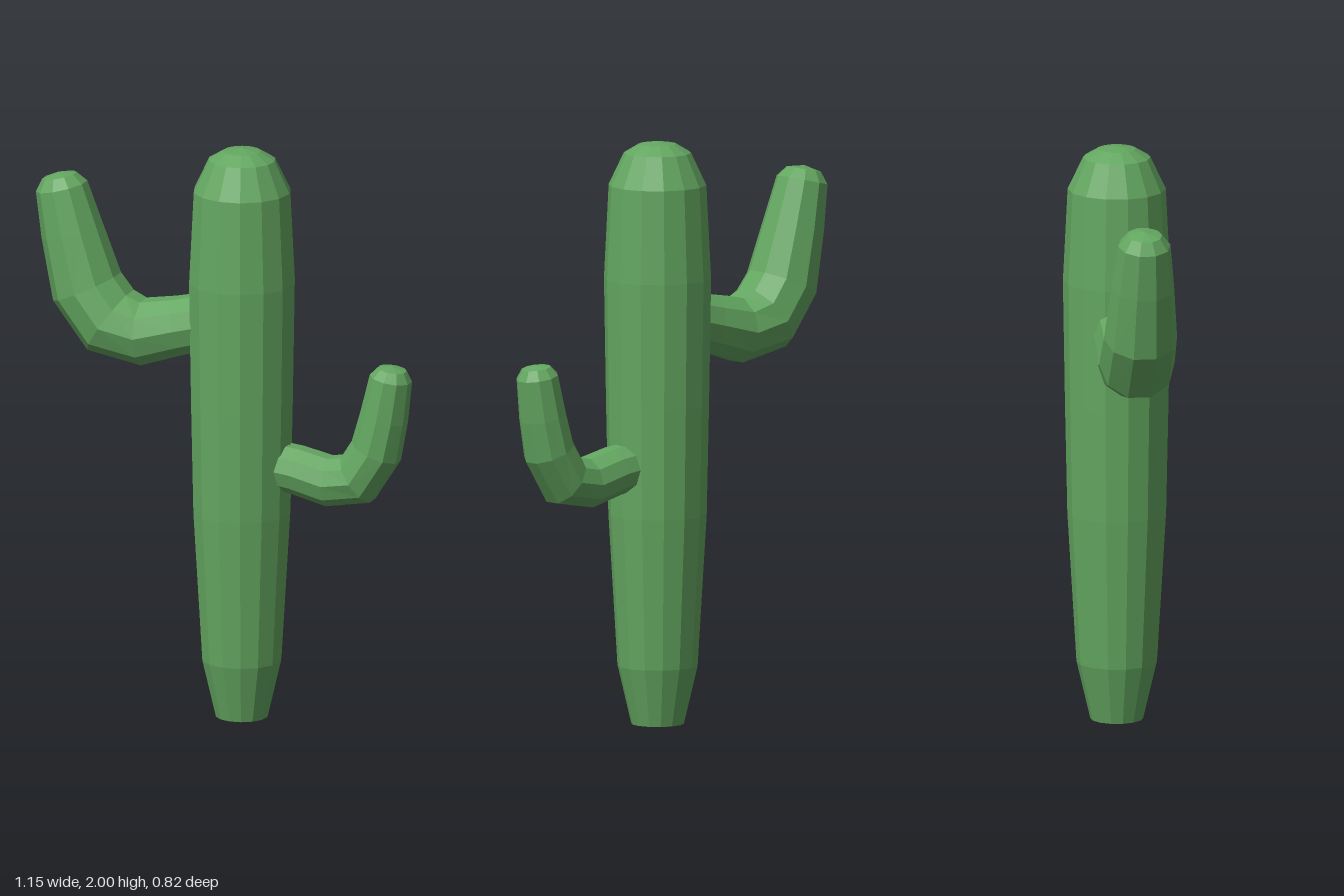
import * as THREE from 'three';

const CENTRE_X = 0.056, CENTRE_Z = -0.048;

// Sweeps round sections [outward, height, radius] in a vertical plane facing (dx, dz)
function sweep(sections, dx, dz, sides) {
  const length = Math.hypot(dx, dz);
  const out = new THREE.Vector3(dx / length, 0, dz / length);
  const up = new THREE.Vector3(0, 1, 0);
  const positions = [], index = [];
  sections.forEach(([s, y, r], i) => {
    const before = sections[Math.max(i - 1, 0)];
    const after = sections[Math.min(i + 1, sections.length - 1)];
    const t = out.clone().multiplyScalar(after[0] - before[0])
      .addScaledVector(up, after[1] - before[1]).normalize();
    const n = out.clone().multiplyScalar(t.y).addScaledVector(up, -t.dot(out));
    const b = t.clone().cross(n);
    for (let j = 0; j < sides; j++) {
      const a = (j + 0.5) / sides * Math.PI * 2;
      const p = out.clone().multiplyScalar(s).addScaledVector(up, y)
        .addScaledVector(n, r * Math.cos(a)).addScaledVector(b, r * Math.sin(a));
      positions.push(p.x + CENTRE_X, p.y, p.z + CENTRE_Z);
    }
  });
  for (let i = 0; i < sections.length - 1; i++) {
    for (let j = 0; j < sides; j++) {
      const k = (j + 1) % sides;
      const a = i * sides + j, b = i * sides + k;
      const c = a + sides, d = b + sides;
      if (sections[i][2] > 0) index.push(a, b, d);
      if (sections[i + 1][2] > 0) index.push(a, d, c);
    }
  }
  const geometry = new THREE.BufferGeometry();
  geometry.setAttribute('position', new THREE.Float32BufferAttribute(positions, 3));
  geometry.setIndex(index);
  const faceted = geometry.toNonIndexed();
  faceted.computeVertexNormals();
  return faceted;
}

export function createModel() {
  const group = new THREE.Group();
  group.name = 'cactus';
  const green = new THREE.MeshStandardMaterial({ color: 0x63a660, flatShading: true });
  green.name = 'cactus green';

  const add = (name, sections, dx, dz, sides) => {
    const mesh = new THREE.Mesh(sweep(sections, dx, dz, sides), green);
    mesh.name = name;
    group.add(mesh);
  };

  // Trunk: narrow foot, slight swell and a rounded crown
  add('trunk', [
    [0, 0, 0], [0, 0, 0.09], [0, 0.2, 0.137], [0, 0.72, 0.168], [0, 1.1, 0.176],
    [0, 1.53, 0.183], [0, 1.85, 0.167], [0, 1.96, 0.115], [0, 1.99, 0.065], [0, 2, 0],
  ], 1, 0, 14);

  // Large arm, reaching forward on the right
  add('rightArm', [
    [0.08, 1.39, 0], [0.08, 1.39, 0.098], [0.22, 1.355, 0.102], [0.355, 1.32, 0.116],
    [0.475, 1.35, 0.13], [0.56, 1.46, 0.126], [0.613, 1.65, 0.108],
    [0.652, 1.805, 0.09], [0.66, 1.842, 0.06], [0.663, 1.855, 0],
  ], -0.832, 0.555, 10);

  // Small arm, reaching back on the left
  add('leftArm', [
    [0.08, 0.9, 0], [0.08, 0.9, 0.083], [0.2, 0.885, 0.085], [0.317, 0.857, 0.088],
    [0.42, 0.875, 0.095], [0.487, 0.98, 0.09], [0.515, 1.1, 0.083],
    [0.54, 1.24, 0.073], [0.545, 1.272, 0.05], [0.546, 1.282, 0],
  ], 0.835, -0.55, 10);

  return group;
}
